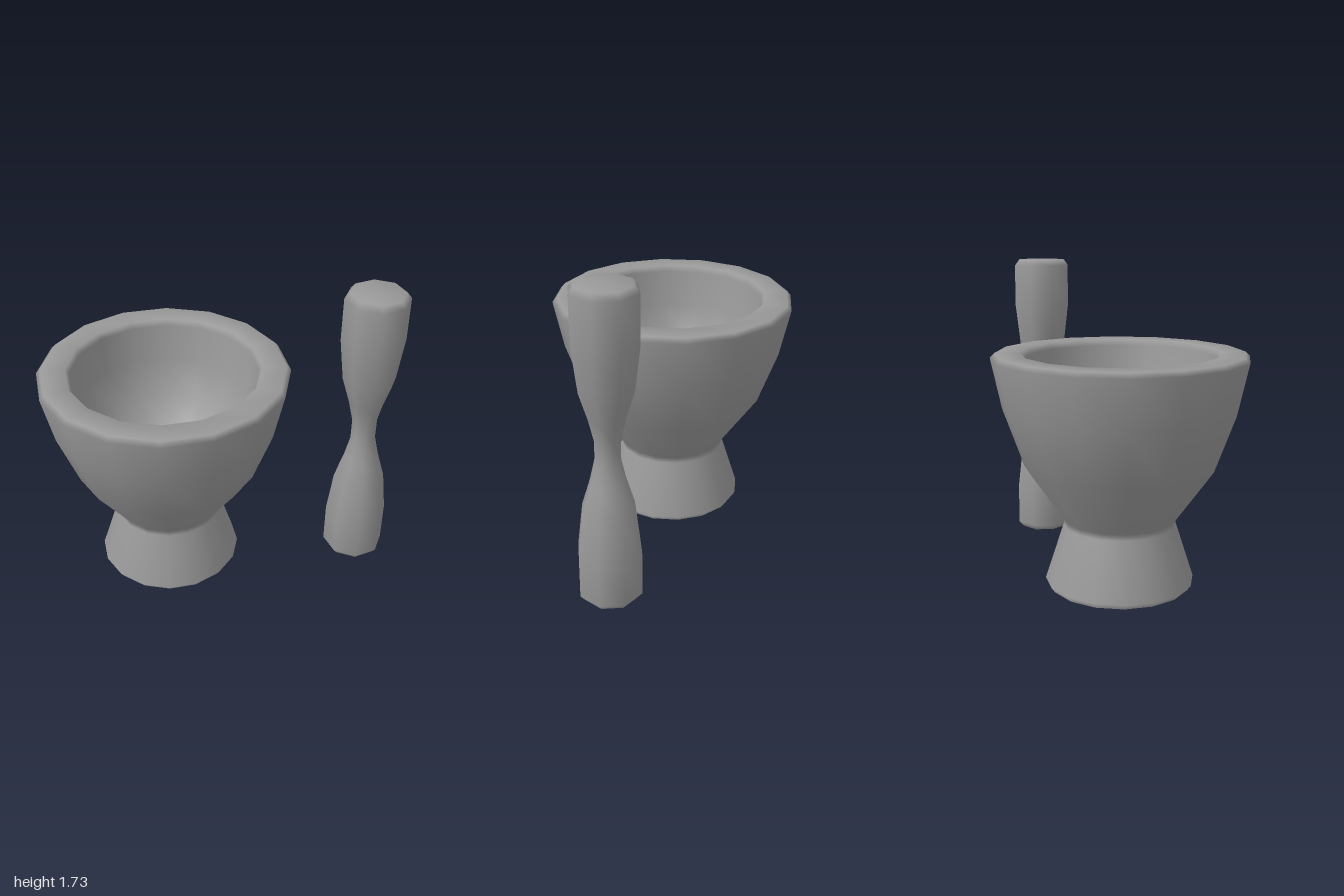
import * as THREE from 'three';

const material = new THREE.MeshStandardMaterial({ color: 0x999999, side: THREE.DoubleSide });

// Turned part: [radius, height] profile from the bottom, up the outside
function turned(name, profile, sides, x) {
  const points = profile.map(([r, y]) => new THREE.Vector2(r, y));
  const geometry = new THREE.LatheGeometry(points, sides);

  // Soft, rounded shading on the top and bottom edges
  const { position, normal } = geometry.attributes;
  const top = Math.max(...points.map((p) => p.y));
  const n = new THREE.Vector3();
  for (let i = 0; i < position.count; i++) {
    const y = position.getY(i);
    if (y > 1e-4 && y < top - 1e-4) continue;
    n.fromBufferAttribute(normal, i);
    n.y *= 0.5;
    n.normalize();
    normal.setXYZ(i, n.x, n.y, n.z);
  }

  const mesh = new THREE.Mesh(geometry, material);
  mesh.name = name;
  mesh.position.x = x;
  return mesh;
}

export function createModel() {
  const group = new THREE.Group();
  group.name = 'mortarAndPestle';

  // Open flared foot, narrow neck, thick-walled bowl and its rounded hollow
  const mortar = [
    [0.39, 0], [0.411, 0.03],
    [0.309, 0.345], [0.309, 0.378],
    [0.522, 0.68], [0.634, 0.99], [0.694, 1.267], [0.67, 1.292],
    [0.535, 1.292], [0.518, 1.26],
    [0.495, 1.05], [0.43, 0.84], [0.3, 0.68], [0.13, 0.61], [0, 0.61],
  ];
  group.add(turned('mortar', mortar, 16, -0.305));

  // Double-ended pestle with a slim grip, mirrored about its middle
  const height = 1.732;
  const half = [
    [0, 0], [0.15, 0], [0.177, 0.033], [0.177, 0.28],
    [0.147, 0.525], [0.1, 0.68], [0.071, 0.805],
  ];
  const upper = half.map(([r, y]) => [r, height - y]).reverse();
  group.add(turned('pestle', [...half, ...upper], 8, 0.822));

  return group;
}
